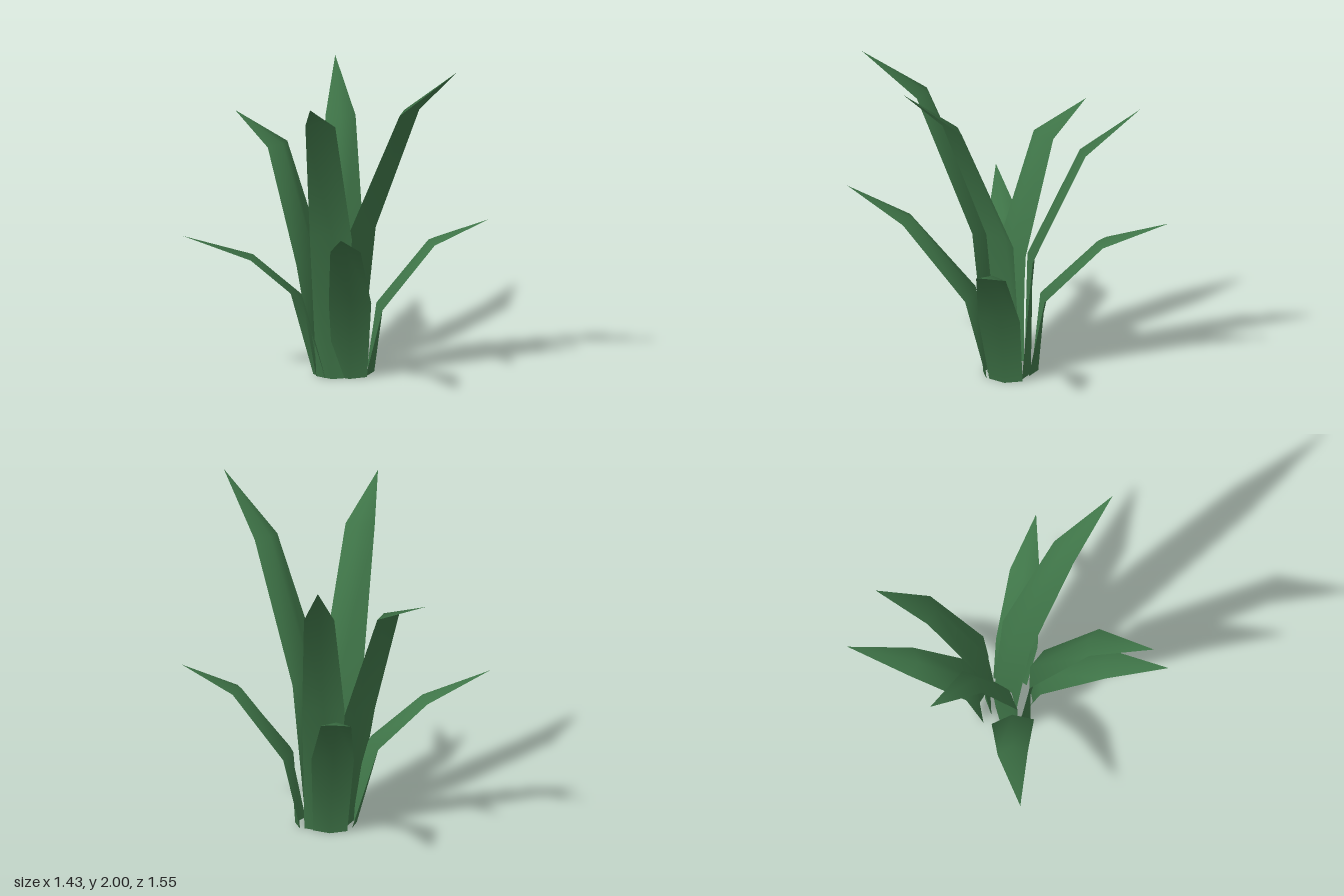
import * as THREE from 'three';

// Half width of a leaf and how far its midrib is pushed outward, at base, knee and shoulder
const HALF_WIDTH = [0.1, 0.125, 0.089];
const RIB_OUT = [0.045, -0.04, -0.04];
const RIB_UP = [0, 0.01, 0.01];

// Centre line of each leaf as [x, y, z]: base, knee, shoulder, tip
const LEAVES = {
  tallFrontLeaf: [[0.14, 0, -0.045], [0.145, 0.87, 0.04], [0.145, 1.675, 0.405], [0.14, 2, 0.775]],
  tallRightLeaf: [[-0.017, 0, -0.043], [-0.09, 0.88, 0], [-0.4, 1.675, 0.18], [-0.72, 1.89, 0.37]],
  tallLeftLeaf: [[0.18, 0, -0.11], [0.215, 0.75, -0.165], [0.445, 1.43, -0.375], [0.665, 1.705, -0.6]],
  tallBackLeaf: [[0.03, 0, -0.13], [-0.035, 0.69, -0.205], [-0.04, 1.355, -0.45], [-0.04, 1.5, -0.775]],
  shortFrontLeftLeaf: [[0.195, 0, 0.035], [0.24, 0.42, 0.125], [0.44, 0.805, 0.355], [0.635, 0.945, 0.605]],
  shortFrontRightLeaf: [[0.05, 0, 0.03], [-0.043, 0.49, 0.108], [-0.355, 0.925, 0.335], [-0.645, 1.105, 0.545]],
  shortBackLeftLeaf: [[0.17, 0, -0.175], [0.225, 0.475, -0.255], [0.44, 0.805, -0.515], [0.715, 0.945, -0.775]],
  shortBackRightLeaf: [[-0.01, 0, -0.145], [-0.14, 0.485, -0.225], [-0.365, 0.75, -0.415], [-0.69, 0.91, -0.63]],
};

// Folded blade: three cross-sections of edge, midrib, edge, closing in a point
function leafGeometry(points) {
  const [, , shoulder, tip] = points;
  const out = new THREE.Vector3(tip[0] - shoulder[0], 0, tip[2] - shoulder[2]).normalize();
  const side = new THREE.Vector3(out.z, 0, -out.x);
  const positions = [];
  const indices = [];

  for (let row = 0; row < 3; row++) {
    for (const s of [-1, 0, 1]) {
      const p = new THREE.Vector3(...points[row]).addScaledVector(side, s * HALF_WIDTH[row]);
      if (s === 0) {
        p.addScaledVector(out, RIB_OUT[row]);
        p.y += RIB_UP[row];
      }
      positions.push(p.x, p.y, p.z);
    }
  }
  positions.push(...tip);

  for (let row = 0; row < 3; row++) {
    for (let col = 0; col < 2; col++) {
      const a = row * 3 + col;
      if (row === 2) indices.push(a, 9, a + 1);
      else indices.push(a, a + 3, a + 1, a + 1, a + 3, a + 4);
    }
  }

  const geometry = new THREE.BufferGeometry();
  geometry.setAttribute('position', new THREE.Float32BufferAttribute(positions, 3));
  geometry.setIndex(indices);
  geometry.computeVertexNormals();
  return geometry;
}

export function createModel() {
  const leafGreen = new THREE.MeshStandardMaterial({ color: 0x3f7548, side: THREE.DoubleSide });
  leafGreen.name = 'leaf green';

  const plant = new THREE.Group();
  plant.name = 'plant';
  for (const [name, points] of Object.entries(LEAVES)) {
    const leaf = new THREE.Mesh(leafGeometry(points), leafGreen);
    leaf.name = name;
    plant.add(leaf);
  }
  return plant;
}
